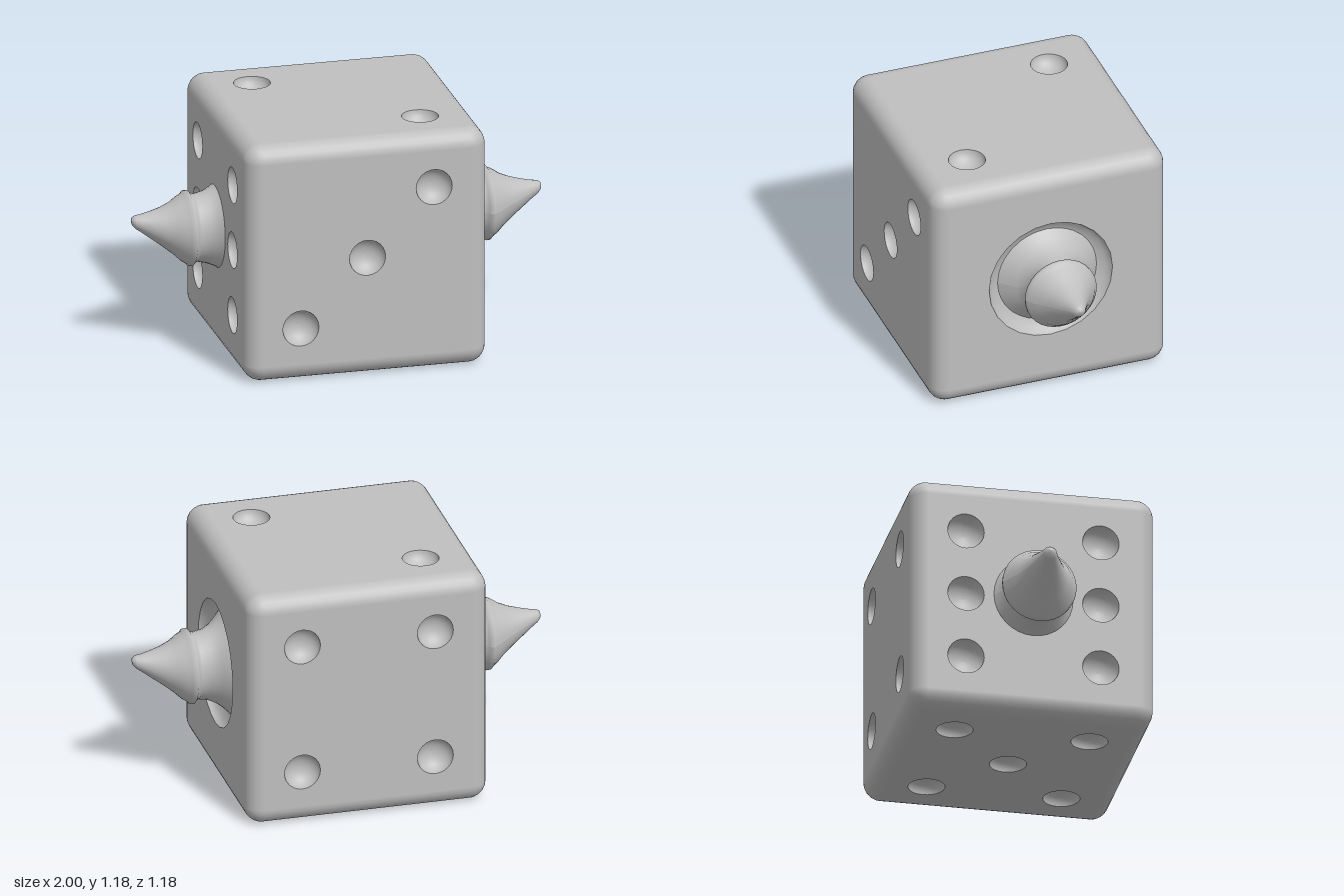
import * as THREE from 'three';

const HALF = 0.59, ROUND = 0.085, CORE = HALF - ROUND, P = 0.325, PIP = 0.088;
const grey = new THREE.MeshStandardMaterial({ color: 0xbfbfbf, side: THREE.DoubleSide });
grey.name = 'grey';

function add(parent, geometry, name) {
  const mesh = new THREE.Mesh(geometry, grey);
  mesh.name = name;
  parent.add(mesh);
  return mesh;
}

// Hollow bowl opening towards +z, with its rim at z = 0
function bowl(radius, depth) {
  const pts = [];
  for (let i = 0; i <= 8; i++) {
    const a = (i / 8) * Math.PI / 2;
    pts.push(new THREE.Vector2(radius * Math.sin(a), -depth * Math.cos(a)));
  }
  // A profile running outwards from the centre faces down, so turn it over
  return new THREE.LatheGeometry(pts.reverse(), 24).rotateX(Math.PI / 2);
}

// Flat square side with a round hole and a bowl for every pip [x, y, radius, depth]
function side(name, pips) {
  const g = new THREE.Group();
  g.name = name;
  const s = new THREE.Shape();
  s.moveTo(-CORE, -CORE).lineTo(CORE, -CORE).lineTo(CORE, CORE).lineTo(-CORE, CORE).closePath();
  for (const [x, y, r = PIP, d = 0.07] of pips) {
    s.holes.push(new THREE.Path().absarc(x, y, r, 0, Math.PI * 2, true));
    add(g, bowl(r, d), 'pip').position.set(x, y, HALF);
  }
  add(g, new THREE.ShapeGeometry(s, 12).translate(0, 0, HALF), 'panel');
  return g;
}

// Horn along +x: flared foot, pinched neck, collar and a cone whose tip lifts
function hornGeometry() {
  const profile = [
    [0.525, 0.262], [0.545, 0.24], [0.57, 0.215], [0.6, 0.192], [0.64, 0.176], [0.69, 0.163],
    [0.708, 0.17], [0.718, 0.182], [0.732, 0.18], [0.742, 0.168], [0.765, 0.155],
    [0.8, 0.126], [0.85, 0.095], [0.9, 0.069], [0.95, 0.044], [0.98, 0.032], [0.995, 0.018], [1, 0],
  ];
  const geo = new THREE.LatheGeometry(profile.map(([x, r]) => new THREE.Vector2(r, x)), 32);
  geo.rotateZ(-Math.PI / 2);
  const p = geo.attributes.position;
  for (let i = 0; i < p.count; i++) {
    const x = p.getX(i);
    const lift = 0.06 * Math.pow(Math.max(0, (x - 0.74) / 0.26), 1.4);
    const pinch = 1 - 0.22 * Math.exp(-Math.pow((x - 0.65) / 0.045, 2));
    p.setY(i, p.getY(i) + 0.01 + lift);
    p.setZ(i, p.getZ(i) * pinch);
  }
  geo.computeVertexNormals();
  return geo;
}

export function createModel() {
  const model = new THREE.Group();
  model.name = 'hornedDie';
  const die = new THREE.Group();
  die.name = 'die';
  die.position.y = HALF;
  model.add(die);

  // Six sides
  const four = [[-P, -P], [P, -P], [-P, P], [P, P]];
  const sides = [
    ['frontSide', [[P, P], [0, 0], [-P, -P]], 0, 0],
    ['backSide', four, 0, Math.PI],
    ['topSide', [[-P, P], [P, -P]], -Math.PI / 2, 0],
    ['bottomSide', [...four, [0, 0]], Math.PI / 2, 0],
    ['leftSide', [[0, 0.01, 0.31, 0.09]], 0, Math.PI / 2],
    ['rightSide', [...four, [-P, 0], [P, 0]], 0, -Math.PI / 2],
  ];
  for (const [name, pips, rx, ry] of sides) {
    const s = side(name, pips);
    s.rotation.set(rx, ry, 0);
    die.add(s);
  }

  // Rounded edges along each axis, and rounded corners
  const q = Math.PI / 2;
  for (let i = 0; i < 4; i++) {
    const mid = (i + 0.5) * q;
    const sx = Math.sign(Math.sin(mid)) * CORE, sz = Math.sign(Math.cos(mid)) * CORE;
    for (const [rx, rz] of [[0, 0], [q, 0], [0, q]]) {
      const edge = new THREE.CylinderGeometry(ROUND, ROUND, CORE * 2, 6, 1, true, i * q, q);
      add(die, edge.translate(sx, 0, sz).rotateX(rx).rotateZ(rz), 'roundedEdge');
    }
    for (const up of [0, 1]) {
      const corner = new THREE.SphereGeometry(ROUND, 6, 6, i * q, q, up ? 0 : q, q);
      corner.translate(-Math.sign(Math.cos(mid)) * CORE, up ? CORE : -CORE, Math.sign(Math.sin(mid)) * CORE);
      add(die, corner, 'roundedCorner');
    }
  }

  // Horn on each side
  add(die, hornGeometry(), 'leftHorn');
  add(die, hornGeometry().rotateY(Math.PI), 'rightHorn');
  return model;
}
